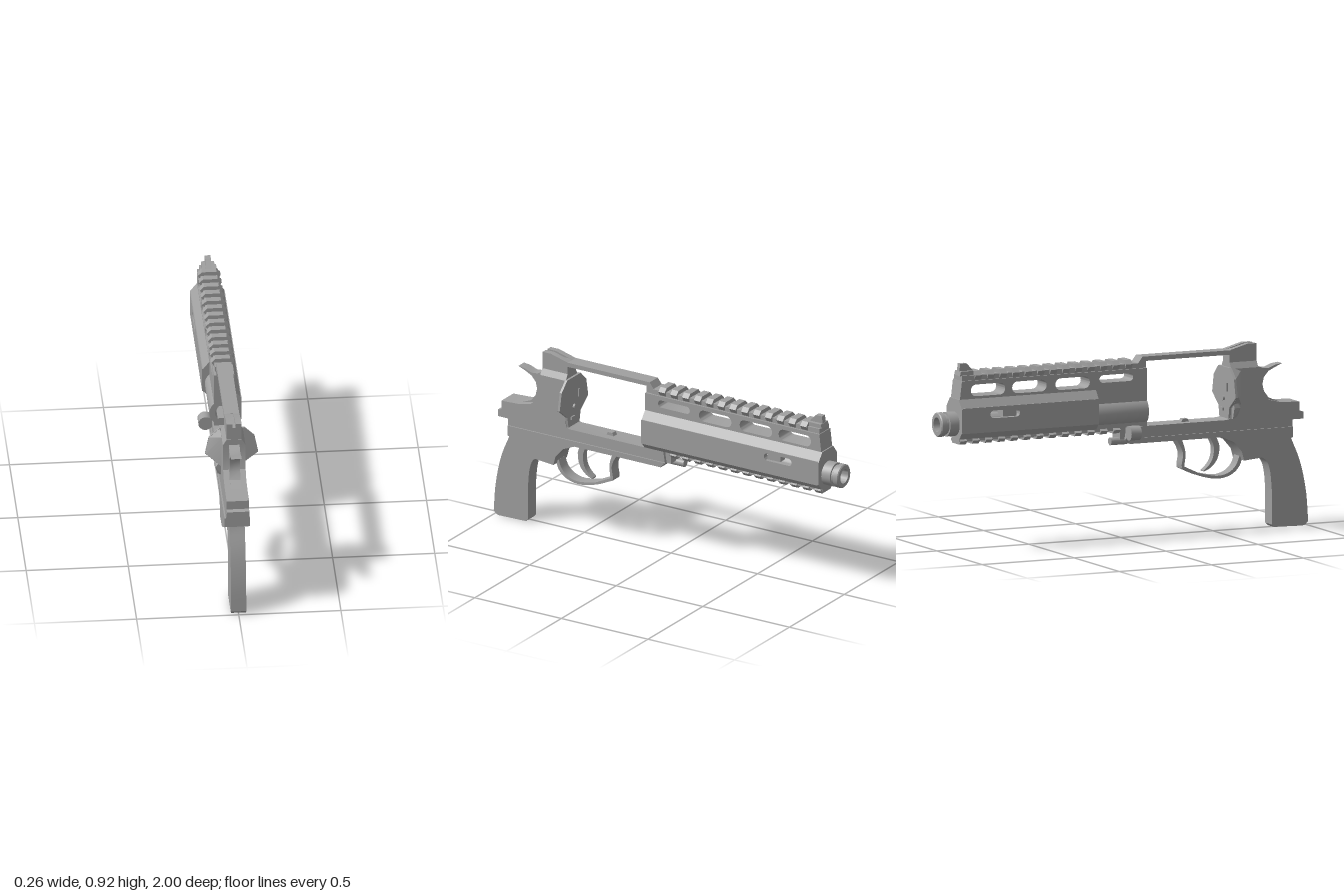
import * as THREE from 'three';
import { toCreasedNormals } from 'three/addons/utils/BufferGeometryUtils.js';
import { ConvexGeometry } from 'three/addons/geometries/ConvexGeometry.js';

const AXIS = 0.622; // height of the bore

export function createModel() {
  const root = new THREE.Group();
  const steel = new THREE.MeshStandardMaterial({ color: 0xa0a0a0, side: THREE.DoubleSide });
  steel.name = 'steel grey';

  const add = (name, geo) => {
    const mesh = new THREE.Mesh(toCreasedNormals(geo, 0.5), steel);
    mesh.name = name;
    root.add(mesh);
    return mesh;
  };
  const shapeOf = (pts) => new THREE.Shape(pts.map(([a, b]) => new THREE.Vector2(a, b)));

  // Side profile in (z, y), given thickness from x0 to x1
  const side = (name, shape, x0, x1) => {
    const s = Array.isArray(shape) ? shapeOf(shape) : shape;
    const g = new THREE.ExtrudeGeometry(s, { depth: x1 - x0, bevelEnabled: false, curveSegments: 10 });
    g.rotateY(-Math.PI / 2).translate(x1, 0, 0);
    return add(name, g);
  };
  // Cross-section in (x, y), running from z0 to z1
  const section = (name, shape, z0, z1) => {
    const s = Array.isArray(shape) ? shapeOf(shape) : shape;
    const g = new THREE.ExtrudeGeometry(s, { depth: z1 - z0, bevelEnabled: false, curveSegments: 16 });
    return add(name, g.translate(0, 0, z0));
  };
  const box = (name, x0, x1, y0, y1, z0, z1) =>
    add(name, new THREE.BoxGeometry(x1 - x0, y1 - y0, z1 - z0)
      .translate((x0 + x1) / 2, (y0 + y1) / 2, (z0 + z1) / 2));
  const rod = (name, x, y, r, z0, z1) =>
    add(name, new THREE.CylinderGeometry(r, r, z1 - z0, 24).rotateX(Math.PI / 2).translate(x, y, (z0 + z1) / 2));
  const mirror = (pts) => [...pts, ...pts.slice().reverse().map(([x, y]) => [-x, y])];
  const smooth = (pts, n) =>
    new THREE.CatmullRomCurve3(pts.map(([a, b]) => new THREE.Vector3(a, b, 0))).getPoints(n).map((p) => [p.x, p.y]);
  // Rounded slot hole
  const slot = (z0, z1, y0, y1) => {
    const r = (y1 - y0) / 2, p = new THREE.Path();
    p.absarc(z1 - r, y0 + r, r, -Math.PI / 2, Math.PI / 2, false);
    p.absarc(z0 + r, y0 + r, r, Math.PI / 2, Math.PI * 1.5, false);
    p.closePath();
    return p;
  };

  // Frame: recoil block, tail and bridge below the window
  side('frame', [[0.573, 0.80], [0.72, 0.80], [0.722, 0.72], [0.737, 0.67], [0.775, 0.635], [0.84, 0.62],
    [0.945, 0.615], [0.945, 0.57], [0.965, 0.565], [0.965, 0.53], [0.905, 0.53], [0.905, 0.445],
    [0.75, 0.36], [0.64, 0.35], [0.628, 0.39], [0.585, 0.44], [0.52, 0.47], [0.02, 0.47], [0, 0.49],
    [0.01, 0.55], [0.55, 0.55], [0.568, 0.556], [0.573, 0.575]], -0.055, 0.055);
  side('lowerFrame', [[0.905, 0.495], [0.905, 0.445], [0.75, 0.355], [0.64, 0.345], [0.628, 0.39],
    [0.585, 0.44], [0.52, 0.468], [0.02, 0.468], [0, 0.495]], -0.062, 0.062);
  section('frameShoulder', mirror([[0.055, 0.80], [0.037, 0.83]]), 0.573, 0.72);
  side('topStrap', [[0.573, 0.868], [0.573, 0.89], [0.10, 0.89], [0.075, 0.857], [0.075, 0.83],
    [0.118, 0.83], [0.118, 0.868]], -0.037, 0.037);
  side('rearSightBase', [[0.718, 0.81], [0.718, 0.895], [0.59, 0.893], [0.573, 0.888], [0.573, 0.81]], -0.037, 0.037);
  for (const s of [-1, 1]) {
    const [a, b] = s > 0 ? [0.007, 0.037] : [-0.037, -0.007];
    side('rearSightLeaf', [[0.718, 0.89], [0.718, 0.916], [0.67, 0.916], [0.573, 0.89]], a, b);
  }

  // Recoil shield with its swelling and thumb latch on one side
  section('recoilShield', mirror([[0.05, 0.555], [0.06, 0.61], [0.13, 0.667], [0.112, 0.757], [0.062, 0.806]]),
    0.56, 0.572);
  const v = (x, y, z) => new THREE.Vector3(x, y, z);
  add('shieldSwelling', new ConvexGeometry([v(-0.05, 0.6, 0.57), v(-0.13, 0.667, 0.57), v(-0.112, 0.757, 0.57),
    v(-0.06, 0.806, 0.57), v(-0.126, 0.67, 0.58), v(-0.05, 0.79, 0.63), v(-0.05, 0.62, 0.63)]));
  add('thumbLatch', new ConvexGeometry([v(-0.05, 0.665, 0.575), v(-0.07, 0.665, 0.575), v(-0.087, 0.61, 0.575),
    v(-0.07, 0.555, 0.575), v(-0.05, 0.555, 0.575), v(-0.05, 0.655, 0.61), v(-0.082, 0.61, 0.61), v(-0.05, 0.565, 0.61)]));
  rod('firingPinBush', 0, 0.652, 0.012, 0.55, 0.565);
  box('shieldStud', -0.045, -0.035, 0.69, 0.73, 0.553, 0.562);
  box('shieldStud', 0.0, 0.03, 0.59, 0.605, 0.553, 0.562);
  side('cylinderStop', [[0.365, 0.548], [0.355, 0.565], [0.33, 0.565], [0.32, 0.548]], -0.015, 0.015);

  // Hammer, trigger and guard
  side('hammer', [[0.865, 0.806], [0.83, 0.802], [0.79, 0.787], [0.755, 0.79], [0.735, 0.80], [0.69, 0.80],
    [0.69, 0.61], [0.84, 0.622], [0.79, 0.642], [0.765, 0.675], [0.757, 0.71], [0.765, 0.745],
    [0.79, 0.773], [0.825, 0.79]], -0.026, 0.026);
  side('trigger', smooth([[0.505, 0.475], [0.527, 0.42], [0.515, 0.355], [0.48, 0.315], [0.443, 0.298]], 12).concat(
    smooth([[0.443, 0.304], [0.472, 0.33], [0.492, 0.365], [0.496, 0.42], [0.47, 0.475]], 12)), -0.018, 0.018);
  side('triggerGuard', [
    ...smooth([[0.645, 0.355], [0.63, 0.315], [0.59, 0.278], [0.52, 0.26], [0.42, 0.278], [0.318, 0.322]], 18),
    ...smooth([[0.316, 0.34], [0.323, 0.40], [0.285, 0.475]], 6),
    ...smooth([[0.315, 0.475], [0.337, 0.40], [0.33, 0.332]], 6),
    ...smooth([[0.415, 0.292], [0.52, 0.274], [0.58, 0.291], [0.612, 0.322], [0.63, 0.365]], 14)], -0.03, 0.03);

  // Grip
  side('grip', [[0.90, 0.46], ...smooth([[0.905, 0.44], [0.955, 0.32], [0.988, 0.17], [1.0, 0.02]], 10),
    [0.985, 0.004], [0.97, 0], [0.815, 0.003], [0.803, 0.015],
    ...smooth([[0.803, 0.18], [0.793, 0.28], [0.775, 0.33], [0.735, 0.36]], 10), [0.74, 0.43]], -0.037, 0.037);

  // Bored barrel with rear collar and grooved muzzle
  const profile = [[0.045, -0.118], [0.072, -0.118], [0.072, 0.16], [0.042, 0.16], [0.042, 0.89], [0.06, 0.89],
    [0.06, 0.955], [0.05, 0.955], [0.05, 0.972], [0.06, 0.972], [0.06, 0.995], [0.055, 1.0], [0.036, 1.0],
    [0.034, 0.95], [0.034, 0.0], [0.045, -0.04], [0.045, -0.118]];
  add('barrel', new THREE.LatheGeometry(profile.map(([r, y]) => new THREE.Vector2(r, y)), 32)
    .rotateX(-Math.PI / 2).translate(0, AXIS, 0));

  // Lower shroud: one side runs the full length, the other stops at the collar
  for (const s of [-1, 1]) {
    const rear = s > 0 ? 0.118 : -0.16, w = 0.085;
    section('shroudShoulder', [[0, 0.745], [s * 0.05, 0.745], [s * w, 0.70], [0, 0.70]], -0.9, rear);
    section('shroudBelly', [[0, 0.55], [s * 0.055, 0.55], [s * w, 0.585], [0, 0.585]], -0.9, rear);
    const panel = shapeOf([[-0.9, 0.58], [rear, 0.58], [rear, 0.705], [-0.9, 0.705]]);
    panel.holes.push(slot(-0.75, -0.59, 0.648, 0.686));
    side('shroudPanel', panel, s > 0 ? 0.055 : -w, s > 0 ? w : -0.055);
    const cap = shapeOf([[0, 0.55], [s * 0.055, 0.55], [s * w, 0.585], [s * w, 0.70], [s * 0.05, 0.745], [0, 0.745]]);
    cap.lineTo(0, AXIS + 0.045);
    cap.absarc(0, AXIS, 0.045, Math.PI / 2, s > 0 ? -Math.PI / 2 : Math.PI * 1.5, s > 0);
    section('shroudFrontCap', cap, -0.905, -0.89);
    section('shroudRearCap', cap, rear - 0.012, rear);
  }
  box('slotCatch', -0.07, 0.07, 0.65, 0.684, -0.675, -0.6);
  box('collarBridge', -0.05, 0.02, 0.66, 0.745, -0.17, 0.118);
  box('collarFoot', -0.05, 0.02, 0.55, 0.59, -0.17, 0.118);

  // Ventilated rib above the barrel
  const rib = shapeOf([[0.118, 0.735], [0.118, 0.835], [-0.888, 0.835], [-0.9, 0.735]]);
  rib.holes.push(slot(-0.14, 0.043, 0.777, 0.815));
  for (const z of [-0.38, -0.615, -0.84]) rib.holes.push(slot(z, z + 0.187, 0.757, 0.815));
  side('ventilatedRib', rib, -0.05, 0.05);

  // Accessory rails above and below
  box('topRail', -0.042, 0.042, 0.83, 0.86, -0.885, 0.08);
  for (let i = 0; i < 13; i++) {
    const z = 0.02 - i * 0.0682;
    section('topRailTooth', mirror([[0.042, 0.838], [0.056, 0.86], [0.036, 0.88]]), z - 0.018, z + 0.018);
  }
  box('bottomRail', -0.042, 0.042, 0.535, 0.555, -0.9, -0.02);
  for (let i = 0; i < 13; i++) {
    const z = -0.045 - i * 0.0695;
    section('bottomRailTooth', mirror([[0.04, 0.55], [0.055, 0.54], [0.038, 0.522]]), z - 0.018, z + 0.018);
  }

  // Front sight
  side('frontSightBase', [[-0.79, 0.858], [-0.815, 0.88], [-0.885, 0.88], [-0.89, 0.858]], -0.032, 0.032);
  side('frontSightBlade', [[-0.80, 0.87], [-0.845, 0.916], [-0.88, 0.916], [-0.885, 0.87]], -0.014, 0.014);

  // Crane pivot and its lock
  rod('cranePivot', -0.085, 0.525, 0.036, 0, 0.056);
  box('craneArm', -0.085, -0.03, 0.505, 0.55, 0.005, 0.05);
  rod('lockPin', -0.02, 0.481, 0.019, -0.07, 0.02);
  box('lockBlock', -0.04, 0.04, 0.49, 0.55, -0.025, 0.02);

  return root;
}
